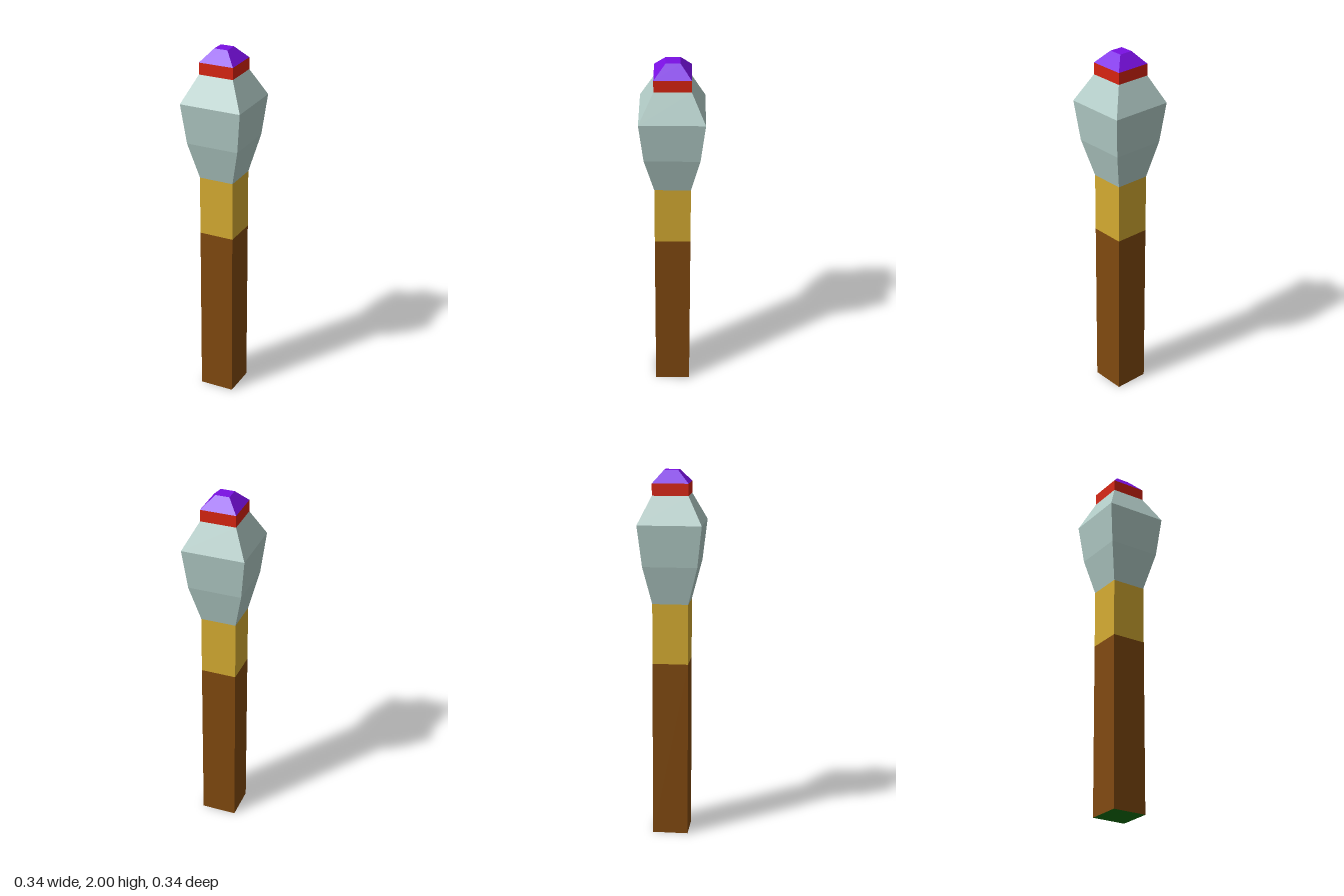
import * as THREE from 'three';

const mat = (name, color) => {
  const m = new THREE.MeshStandardMaterial({ color });
  m.name = name;
  return m;
};

// Square rings, bottom to top: height, half width, sideways shift (same in x and z)
const RINGS = {
  base: [0, 0.0965, -0.0025],
  shaftTop: [0.966, 0.0965, -0.0025],
  collarTop: [1.294, 0.0965, -0.0025],
  belly: [1.5, 0.146, 0],
  shoulder: [1.722, 0.171, 0],
  headTop: [1.87, 0.0965, -0.0025],
  bandTop: [1.934, 0.0965, -0.0025],
  tip: [2, 0.0375, -0.004],
};

// Four flat walls joining two rings
function walls(lower, upper) {
  const geo = new THREE.CylinderGeometry(Math.SQRT2, Math.SQRT2, 2, 4, 1, true, Math.PI / 4).toNonIndexed();
  const p = geo.attributes.position;
  for (let i = 0; i < p.count; i++) {
    const [y, half, shift] = p.getY(i) > 0 ? upper : lower;
    p.setXYZ(i, p.getX(i) * half + shift, y, p.getZ(i) * half + shift);
  }
  geo.computeVertexNormals();
  return geo;
}

// Square end face on a ring; dir 1 faces up, -1 faces down
function cap([y, half, shift], dir) {
  return new THREE.PlaneGeometry(2 * half, 2 * half)
    .rotateX(-dir * Math.PI / 2)
    .translate(shift, y, shift);
}

export function createModel() {
  const wood = mat('brown wood', 0x80490f);
  const gold = mat('gold', 0xd4ab31);
  const steel = mat('pale steel', 0xb3cdc8);
  const red = mat('red', 0xd82410);
  const purple = mat('purple', 0x7a10e4);
  const green = mat('green', 0x147408);

  const group = new THREE.Group();
  const add = (name, geometry, material) => {
    const mesh = new THREE.Mesh(geometry, material);
    mesh.name = name;
    group.add(mesh);
  };
  const R = RINGS;

  // Handle
  add('shaft', walls(R.base, R.shaftTop), wood);
  add('shaftEnd', cap(R.base, -1), green);
  add('collar', walls(R.shaftTop, R.collarTop), gold);

  // Faceted head
  add('headLower', walls(R.collarTop, R.belly), steel);
  add('headMiddle', walls(R.belly, R.shoulder), steel);
  add('headUpper', walls(R.shoulder, R.headTop), steel);

  // Band and pointed cap
  add('band', walls(R.headTop, R.bandTop), red);
  add('capSides', walls(R.bandTop, R.tip), purple);
  add('capTop', cap(R.tip, 1), purple);

  return group;
}
